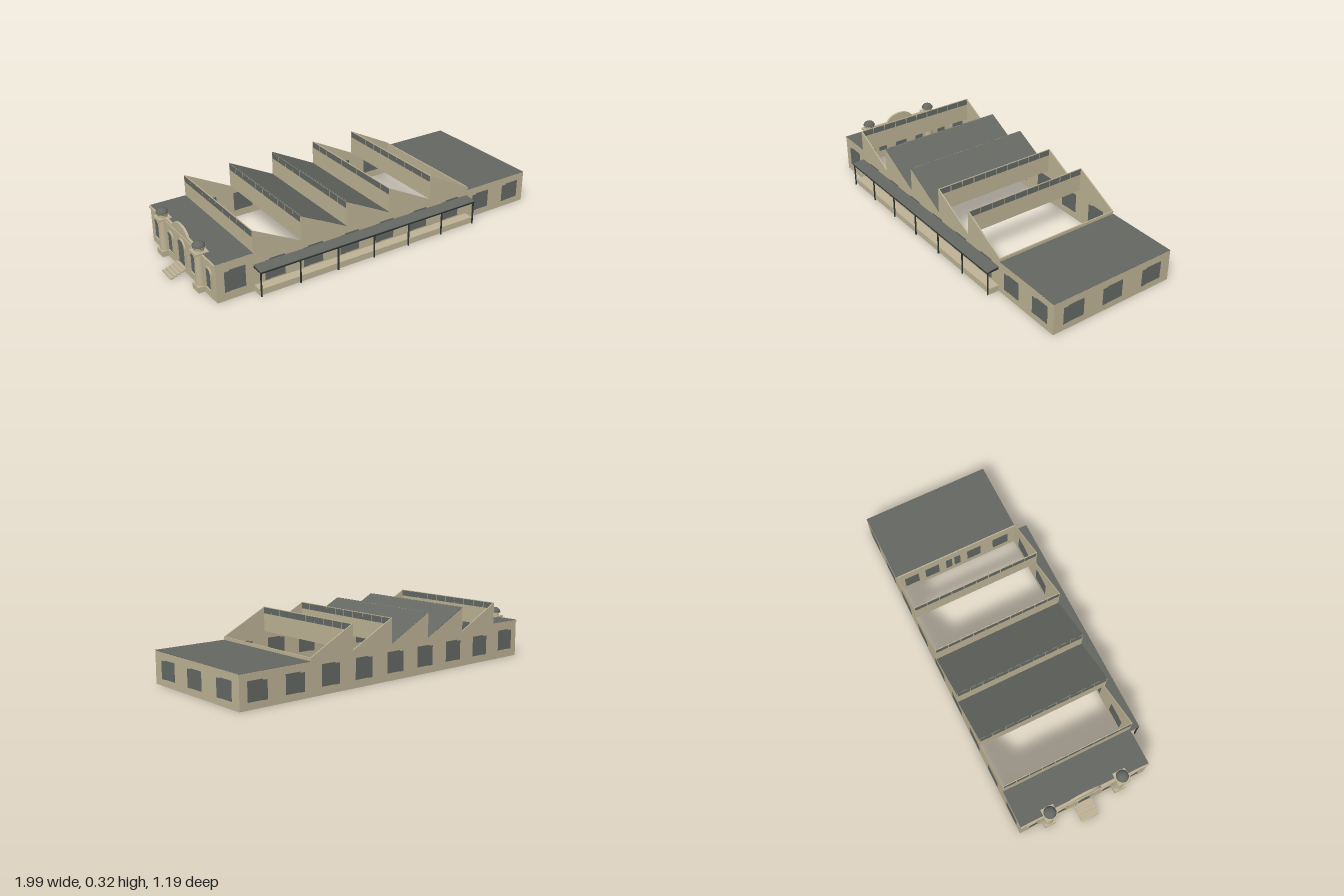
import * as THREE from 'three';

const mat = (name, color, side = THREE.FrontSide) =>
  Object.assign(new THREE.MeshStandardMaterial({ color, side }), { name });

export function createModel() {
  const wall = mat('sandStone', 0xbfb496, THREE.DoubleSide);
  const roof = mat('slateRoof', 0x656862, THREE.DoubleSide);
  const glass = mat('greyGlass', 0x646964);
  const iron = mat('darkIron', 0x2c3532);

  const model = new THREE.Group();
  model.name = 'factoryHall';
  const hall = new THREE.Group();
  hall.name = 'building';
  hall.rotation.y = 0.2718;
  hall.position.set(0.0025, 0, -0.006);
  model.add(hall);

  const add = (name, geo, m, x = 0, y = 0, z = 0, parent = hall) => {
    const mesh = new THREE.Mesh(geo, m);
    mesh.name = name;
    mesh.position.set(x, y, z);
    parent.add(mesh);
    return mesh;
  };
  // box given by its centre in x and z and by its bottom and top heights
  const box = (name, m, w, y0, y1, d, x, z, parent) =>
    add(name, new THREE.BoxGeometry(w, y1 - y0, d), m, x, (y0 + y1) / 2, z, parent);
  const extrude = (shape, depth) =>
    new THREE.ExtrudeGeometry(shape, { depth, bevelEnabled: false, curveSegments: 16 });

  const L = 0.932, W = 0.353, T = 0.006;       // half length, half width, wall thickness
  const S0 = -0.74, S1 = 0.536, N = 5;         // sawtooth section
  const step = (S1 - S0) / N;
  const hLeft = 0.2, hRight = 0.168, valley = 0.185, peak = 0.315;

  // long side walls with the sawtooth outline
  const outline = new THREE.Shape();
  outline.moveTo(-L, 0);
  outline.lineTo(-L, hLeft);
  outline.lineTo(S0, hLeft);
  for (let i = 0; i < N; i++) {
    outline.lineTo(S0 + i * step, peak);
    outline.lineTo(S0 + (i + 1) * step, valley);
  }
  outline.lineTo(S1, hRight);
  outline.lineTo(L, hRight);
  outline.lineTo(L, 0);
  for (const s of [1, -1]) {
    add(s > 0 ? 'frontWall' : 'backWall', extrude(outline, T), wall, 0, 0, s > 0 ? W - T : -W);
    // nine windows, each a tall pane with a slightly lower side light
    for (let i = 0; i < 9; i++) {
      const x = -0.836 + 0.209 * i;
      const y0 = x < S0 ? 0.045 : x < S1 ? 0.04 : 0.035;
      const y1 = x < S0 ? 0.155 : x < S1 ? 0.147 : 0.131;
      const z = s * (W - T / 2);
      box('sideWindow', glass, 0.082, y0, y1, 0.009, x + 0.012, z);
      box('sideWindowLight', glass, 0.026, y0 - 0.002, y1 - 0.006, 0.009, x - 0.042, z);
    }
  }

  // end walls and the partition
  box('entranceWall', wall, T, 0, hLeft, 2 * W, -L + T / 2, 0);
  box('endWall', wall, T, 0, hRight, 2 * W, L - T / 2, 0);
  box('partitionWall', wall, T, 0, valley, 2 * W - 2 * T, S1 - T / 2, 0);
  for (const z of [-0.237, 0.005, 0.237]) {
    box('endWindow', glass, 0.009, 0.036, 0.13, 0.09, L - T / 2, z - 0.014);
    box('endWindowLight', glass, 0.009, 0.034, 0.125, 0.028, L - T / 2, z + 0.045);
  }
  for (const [z, w] of [[0.26, 0.09], [0.1, 0.08], [0, 0.035], [-0.05, 0.035], [-0.15, 0.08], [-0.27, 0.08]])
    box('partitionWindow', glass, 0.009, 0.04, 0.13, w, S1 - T / 2, z);

  // flat roofs
  box('entranceRoof', roof, S0 + L, hLeft - 0.002, hLeft + 0.001, 2 * W, (S0 - L) / 2, 0);
  box('endRoof', roof, L - S1, hRight - 0.002, hRight + 0.001, 2 * W, (S1 + L) / 2, 0);

  // sawtooth uprights with their strip windows, and the two roofed bays
  const slope = Math.atan2(peak - valley, step);
  for (let i = 0; i < N; i++) {
    const x = S0 + i * step;
    box('sawtoothUpright', wall, 0.004, valley, peak, 2 * W - 0.002, x + 0.002, 0);
    for (let k = 0; k < 10; k++)
      box('stripWindow', glass, 0.007, 0.281, 0.312, 0.065, x + 0.002, (k - 4.5) * 0.07);
    if (i === 1 || i === 2) {
      const slab = new THREE.BoxGeometry(Math.hypot(step, peak - valley), 0.003, 2 * W);
      add('sawtoothRoof', slab, roof, x + step / 2, (peak + valley) / 2, 0).rotation.z = -slope;
    }
  }

  // canopy along the front
  const cx = -0.106, cw = 1.27, front = 0.416;
  box('platform', wall, cw, 0, 0.032, 0.052, cx, W + 0.026);
  add('canopyRoof', new THREE.BoxGeometry(cw, 0.003, 0.068), roof, cx, 0.1345, W + 0.033).rotation.x = 0.1;
  box('canopyFascia', iron, cw, 0.121, 0.131, 0.005, cx, front);
  box('canopyRail', iron, cw, 0.126, 0.134, 0.005, cx, W + 0.003);
  for (let i = 0; i < 7; i++) {
    const x = cx + (i / 6 - 0.5) * (cw - 0.008);
    add('canopyPost', new THREE.CylinderGeometry(0.0042, 0.0042, 0.128, 8), iron, x, 0.064, front - 0.003);
    box('canopyBracket', iron, 0.005, 0.122, 0.13, 0.062, x, W + 0.031);
  }

  // entrance front: shapes drawn across the wall, facing the left end
  const arch = (w, y0, y1) => {
    const s = new THREE.Shape();
    s.moveTo(-w, y0);
    s.lineTo(w, y0);
    s.lineTo(w, y1 - w);
    s.absarc(0, y1 - w, w, 0, Math.PI, false);
    s.lineTo(-w, y0);
    return s;
  };
  const facing = (name, shape, depth, m, x, z) => {
    add(name, extrude(shape, depth), m, x, 0, z).rotation.y = -Math.PI / 2;
  };
  const inner = -L + T + 0.0015;
  for (const [z, w, y0, y1] of [[0, 0.036, 0.032, 0.165], [0.125, 0.025, 0.045, 0.15],
    [-0.125, 0.025, 0.045, 0.15], [0.283, 0.025, 0.045, 0.15], [-0.283, 0.025, 0.045, 0.15]]) {
    facing(z ? 'archedWindow' : 'archedDoor', arch(w, y0, y1), 0.0095, glass, inner, z);
    const frame = arch(w + 0.008, y0, y1 + 0.008);
    frame.holes.push(arch(w, y0 + 0.0005, y1));
    facing('archFrame', frame, 0.007, wall, -L, z);
  }
  const parapet = new THREE.Shape();
  parapet.moveTo(-0.17, hLeft);
  parapet.lineTo(0.17, hLeft);
  parapet.lineTo(0.17, 0.212);
  parapet.lineTo(0.085, 0.212);
  parapet.quadraticCurveTo(0.06, 0.252, 0, 0.252);
  parapet.quadraticCurveTo(-0.06, 0.252, -0.085, 0.212);
  parapet.lineTo(-0.17, 0.212);
  facing('curvedParapet', parapet, 0.012, wall, -L + 0.007, 0);
  box('cornice', wall, 0.012, 0.19, 0.198, 2 * W, -L - 0.002, 0);

  // domed turrets
  for (const z of [-0.197, 0.2]) {
    const turret = new THREE.Group();
    turret.name = 'turret';
    turret.position.set(-0.935, 0, z);
    hall.add(turret);
    box('turretBase', wall, 0.062, 0, 0.03, 0.062, 0, 0, turret);
    add('turretShaft', new THREE.CylinderGeometry(0.024, 0.027, 0.17, 20), wall, 0, 0.115, 0, turret);
    box('turretCap', wall, 0.068, 0.196, 0.206, 0.068, 0, 0, turret);
    add('turretNeck', new THREE.CylinderGeometry(0.023, 0.023, 0.016, 20), wall, 0, 0.214, 0, turret);
    add('turretRim', new THREE.CylinderGeometry(0.034, 0.03, 0.007, 20), wall, 0, 0.2255, 0, turret);
    const dome = new THREE.SphereGeometry(0.032, 20, 8, 0, Math.PI * 2, 0, Math.PI / 2);
    add('turretDome', dome, roof, 0, 0.228, 0, turret).scale.y = 0.8;
  }

  // entrance steps
  for (let i = 0; i < 5; i++) {
    const top = 0.0064 * (i + 1);
    box('entranceStep', wall, 0.0178, top - 0.0064, top, 0.098, -1.0135 + i * 0.0178, 0);
  }
  return model;
}
